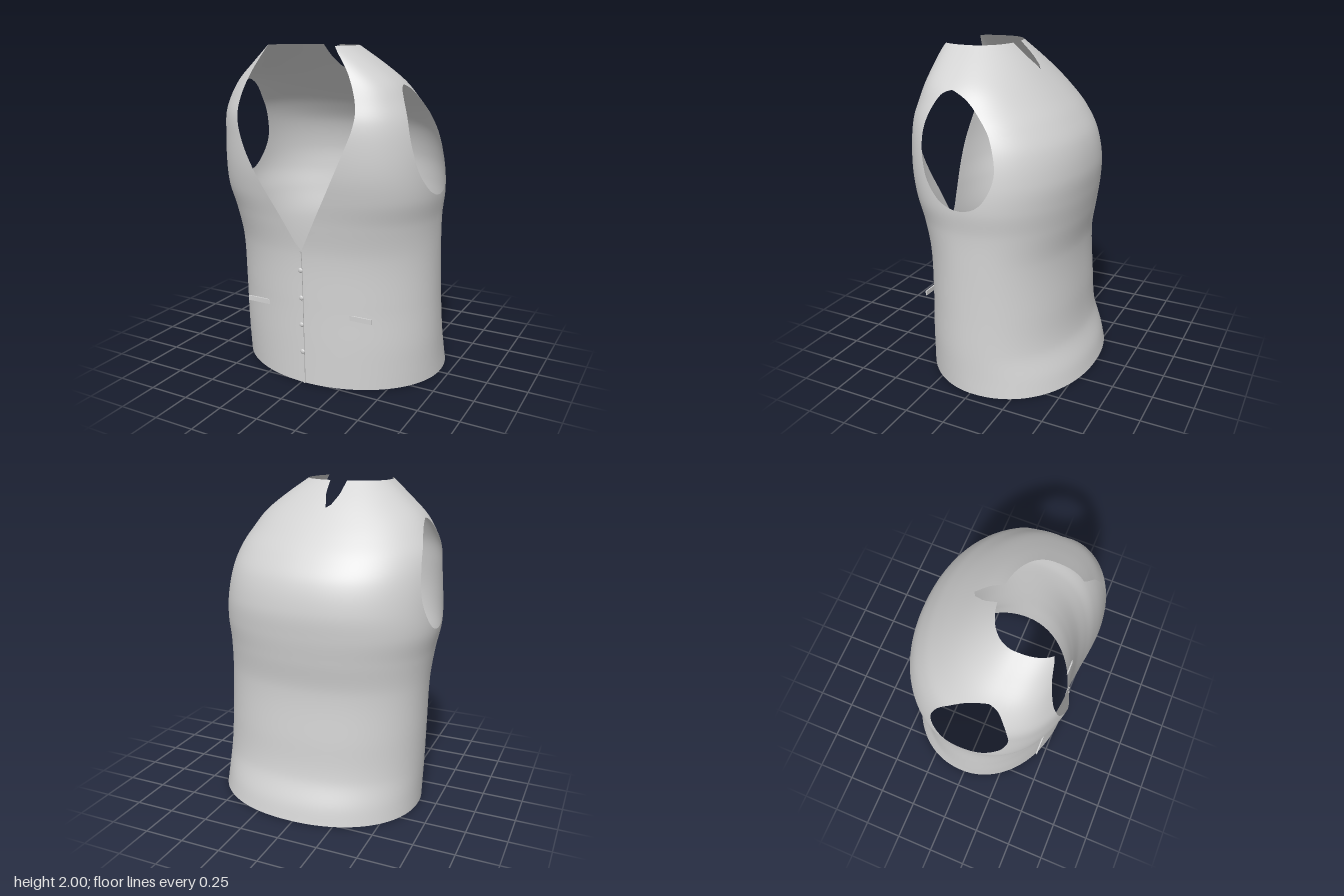
import * as THREE from 'three';
import { mergeVertices } from 'three/addons/utils/BufferGeometryUtils.js';

// Body cross-sections: y, min x, max x, front z, back z, z of widest point, front squareness
const ROWS = [
  [0, -0.64, 0.69, 0.515, -0.555, -0.02, 2],
  [0.1, -0.64, 0.685, 0.513, -0.53, 0, 2],
  [0.26, -0.642, 0.68, 0.51, -0.47, 0.02, 2],
  [0.5, -0.645, 0.67, 0.505, -0.445, 0.03, 2],
  [0.8, -0.65, 0.662, 0.505, -0.425, 0.03, 2.1],
  [1.0, -0.67, 0.662, 0.53, -0.45, 0.035, 2.3],
  [1.15, -0.695, 0.677, 0.555, -0.467, 0.04, 2.5],
  [1.3, -0.69, 0.67, 0.575, -0.47, 0.05, 2.6],
  [1.47, -0.675, 0.645, 0.58, -0.43, 0.08, 2.6],
  [1.6, -0.655, 0.605, 0.57, -0.35, 0.12, 2.6],
  [1.7, -0.61, 0.55, 0.54, -0.265, 0.16, 2.6],
  [1.8, -0.54, 0.48, 0.51, -0.17, 0.19, 2.6],
  [1.9, -0.43, 0.36, 0.49, -0.07, 0.21, 2.6],
  [2.0, -0.31, 0.22, 0.48, 0.04, 0.23, 2.6],
];

// Smooth interpolation of the cross-section values at height y
function section(y) {
  let k = 0;
  while (k < ROWS.length - 2 && y > ROWS[k + 1][0]) k++;
  const a = ROWS[k], b = ROWS[k + 1], h = b[0] - a[0], t = (y - a[0]) / h;
  const p = ROWS[Math.max(k - 1, 0)], q = ROWS[Math.min(k + 2, ROWS.length - 1)];
  return a.map((v, c) => {
    const m0 = (b[c] - p[c]) / (b[0] - p[0]), m1 = (q[c] - v) / (q[0] - a[0]);
    const t2 = t * t, t3 = t2 * t;
    return v * (2 * t3 - 3 * t2 + 1) + b[c] * (3 * t2 - 2 * t3)
      + h * (m0 * (t3 - 2 * t2 + t) + m1 * (t3 - t2));
  });
}

function surfacePoint(s, y, angle) {
  const [, x0, x1, zf, zb, cz, n] = s;
  const sn = Math.sin(angle), cs = Math.cos(angle);
  const e = 2 / (cs > 0 ? n : 2.15);
  const x = (x0 + x1) / 2 + (x1 - x0) / 2 * Math.sign(sn) * Math.abs(sn) ** e;
  const z = cz + (cs > 0 ? zf - cz : cz - zb) * Math.sign(cs) * Math.abs(cs) ** e;
  return [x, y, z];
}

// Signed distance to a closed outline: positive outside
function outlineDistance(pts, u, v) {
  let best = Infinity, inside = false;
  pts.forEach((a, i) => {
    const b = pts[(i + 1) % pts.length], dx = b.x - a.x, dy = b.y - a.y;
    const t = THREE.MathUtils.clamp(((u - a.x) * dx + (v - a.y) * dy) / (dx * dx + dy * dy), 0, 1);
    best = Math.min(best, Math.hypot(u - a.x - t * dx, v - a.y - t * dy));
    if ((a.y > v) !== (b.y > v) && u < a.x + (v - a.y) / dy * dx) inside = !inside;
  });
  return inside ? -best : best;
}

const vecs = (list) => list.map(([x, y]) => new THREE.Vector2(x, y));
const smooth = (list, n) => new THREE.SplineCurve(vecs(list)).getPoints(n);

// Openings: front neckline (x, y), back notch (x, y), armhole (z, y)
const NECK = [
  ...smooth([[-0.003, 0.82], [-0.13, 1.045], [-0.25, 1.24], [-0.36, 1.43], [-0.41, 1.57],
    [-0.41, 1.7], [-0.355, 1.85], [-0.265, 1.99], [-0.22, 2.06]], 40),
  ...smooth([[0.13, 2.06], [0.18, 1.99], [0.28, 1.85], [0.34, 1.7], [0.345, 1.58],
    [0.29, 1.42], [0.21, 1.24], [0.11, 1.045]], 36),
];
const NOTCH = vecs([[-0.107, 2.05], [-0.09, 1.93], [-0.04, 1.835], [0, 1.93], [0.012, 2.05]]);
const ARMHOLE = smooth([[0.18, 1.79], [0.09, 1.75], [0, 1.675], [-0.09, 1.565], [-0.14, 1.41],
  [-0.125, 1.29], [-0.06, 1.19], [0.04, 1.155], [0.13, 1.17], [0.21, 1.22], [0.29, 1.33],
  [0.325, 1.5], [0.305, 1.64], [0.245, 1.76], [0.18, 1.79]], 56).slice(0, -1);

// Cut away the part of a polygon lying inside an opening
function clip(poly, dist) {
  const out = [];
  poly.forEach((a, i) => {
    const b = poly[(i + 1) % poly.length], da = dist(a), db = dist(b);
    if (da >= 0) out.push(a);
    if ((da >= 0) !== (db >= 0)) {
      const t = da / (da - db);
      out.push(a.map((v, c) => v + (b[c] - v) * t));
    }
  });
  return out;
}

function bodyGeometry() {
  const around = 128, up = 100, grid = [], pos = [];
  for (let j = 0; j <= up; j++) {
    const y = 2 * j / up, s = section(y);
    grid.push(Array.from({ length: around }, (_, i) => surfacePoint(s, y, i / around * Math.PI * 2)));
  }
  const addTriangle = (tri) => {
    const mid = [0, 1, 2].map((c) => (tri[0][c] + tri[1][c] + tri[2][c]) / 3);
    let poly = tri;
    if (mid[1] > 0.75) {
      const front = mid[2] > 0.23;
      if (front || mid[1] > 1.8) poly = clip(poly, (p) => outlineDistance(front ? NECK : NOTCH, p[0], p[1]));
      if (Math.abs(mid[0]) > 0.36) poly = clip(poly, (p) => outlineDistance(ARMHOLE, p[2], p[1]));
    }
    for (let k = 1; k < poly.length - 1; k++) pos.push(...poly[0], ...poly[k], ...poly[k + 1]);
  };
  for (let j = 0; j < up; j++) {
    for (let i = 0; i < around; i++) {
      const n = (i + 1) % around;
      const a = grid[j][i], b = grid[j][n], c = grid[j + 1][n], d = grid[j + 1][i];
      addTriangle([a, b, c]);
      addTriangle([a, c, d]);
    }
  }
  const geo = new THREE.BufferGeometry();
  geo.setAttribute('position', new THREE.Float32BufferAttribute(pos, 3));
  const merged = mergeVertices(geo, 1e-5);
  merged.computeVertexNormals();
  return merged;
}

// Raised overlapping edge down the front closure
function placketGeometry() {
  const geo = new THREE.PlaneGeometry(1, 1, 3, 24), p = geo.attributes.position;
  const across = [-0.006, -0.006, 0.006, 0.006], lift = [-0.004, 0.007, 0.007, -0.004];
  for (let i = 0; i < p.count; i++) {
    const c = i % 4, y = 0.83 * (p.getY(i) + 0.5);
    p.setXYZ(i, 0.02 - 0.023 * y / 0.83 + across[c], y, section(y)[3] + lift[c]);
  }
  const faceted = geo.toNonIndexed();
  faceted.computeVertexNormals();
  return faceted;
}

export function createModel() {
  const group = new THREE.Group();
  const cloth = new THREE.MeshStandardMaterial({ color: 0xd2d2d2, side: THREE.DoubleSide });
  cloth.name = 'light grey cloth';

  const add = (name, geometry, x = 0, y = 0, z = 0) => {
    const mesh = new THREE.Mesh(geometry, cloth);
    mesh.name = name;
    mesh.position.set(x, y, z);
    group.add(mesh);
  };

  add('vestBody', bodyGeometry());
  add('frontPlacket', placketGeometry());

  // Four small domed buttons
  const button = new THREE.SphereGeometry(0.015, 16, 10).scale(1, 1, 0.5);
  [[0, 0.715, 0.514], [0.005, 0.545, 0.517], [0.01, 0.38, 0.526], [0.018, 0.21, 0.53]]
    .forEach(([x, y, z], i) => add('button' + (i + 1), button, x, y, z));

  // Straight pocket welts, set through the curved cloth
  const welt = new THREE.BoxGeometry(0.225, 0.03, 0.009);
  add('rightPocketWelt', welt, -0.298, 0.453, 0.46);
  add('leftPocketWelt', welt, 0.322, 0.453, 0.455);

  return group;
}
